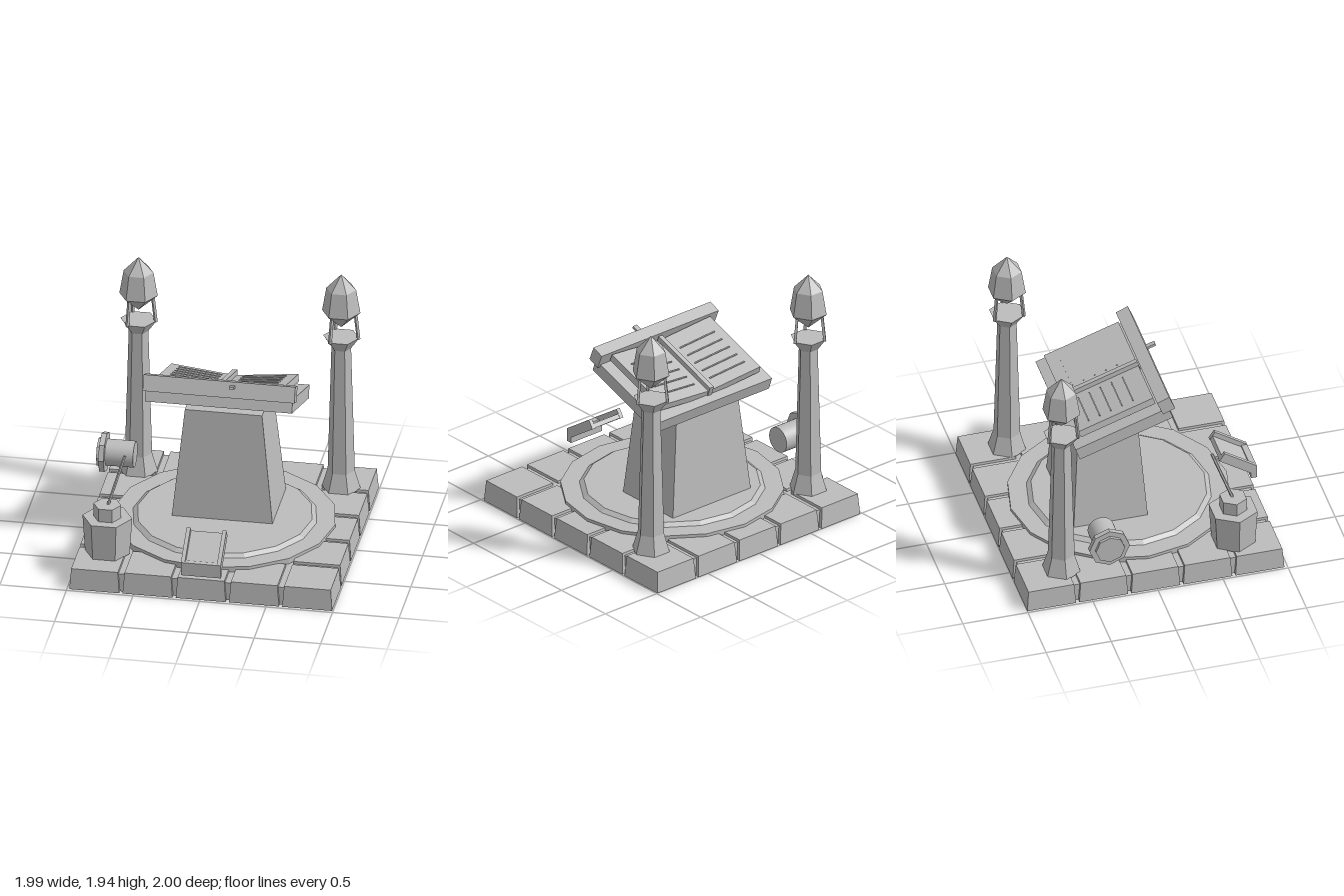
import * as THREE from 'three';

const stone = new THREE.MeshStandardMaterial({ color: 0xbcbcbc });
stone.name = 'stone grey';

export function createModel() {
  const root = new THREE.Group();
  root.name = 'readingStand';

  // --- helpers ---
  const add = (parent, name, geo, x = 0, y = 0, z = 0) => {
    const m = new THREE.Mesh(geo, stone);
    m.name = name;
    m.position.set(x, y, z);
    parent.add(m);
    return m;
  };
  const group = (parent, name, x, y, z) => {
    const g = new THREE.Group();
    g.name = name;
    g.position.set(x, y, z);
    parent.add(g);
    return g;
  };
  const box = (w, h, d) => new THREE.BoxGeometry(w, h, d);
  const facet = (geo) => {
    const g = geo.toNonIndexed();
    g.computeVertexNormals();
    return g;
  };
  // faceted prism or frustum with a corner on +x, standing on y = 0
  const prism = (rTop, rBottom, h, sides) => {
    const g = new THREE.CylinderGeometry(rTop, rBottom, h, sides);
    g.rotateY(Math.PI / 2);
    g.translate(0, h / 2, 0);
    return facet(g);
  };
  // box with a smaller top, standing on y = 0
  const taperedBox = (w, d, wTop, dTop, h) => {
    const g = box(w, h, d).translate(0, h / 2, 0);
    const p = g.attributes.position;
    for (let i = 0; i < p.count; i++) {
      if (p.getY(i) > h / 2) p.setXYZ(i, p.getX(i) * wTop / w, h, p.getZ(i) * dTop / d);
    }
    return facet(g);
  };
  // thin rod between two points
  const rod = (parent, name, a, b, r, sides) => {
    const dir = b.clone().sub(a);
    const m = add(parent, name, facet(new THREE.CylinderGeometry(r, r, dir.length(), sides)));
    m.position.copy(a).addScaledVector(dir, 0.5);
    m.quaternion.setFromUnitVectors(new THREE.Vector3(0, 1, 0), dir.normalize());
    return m;
  };
  const V = (x, y, z) => new THREE.Vector3(x, y, z);

  // --- tiled floor ---
  const floor = group(root, 'floor', 0.005, 0, -0.012);
  add(floor, 'floorCore', box(1.91, 0.145, 1.91), 0, 0.0725, 0);
  const tile = taperedBox(0.375, 0.375, 0.35, 0.35, 0.166);
  for (let i = -2; i <= 2; i++) {
    for (let j = -2; j <= 2; j++) add(floor, 'floorTile', tile, i * 0.4, 0, j * 0.4);
  }

  // --- round dais ---
  add(root, 'lowerStep', prism(0.83, 0.83, 0.07, 16), 0.01, 0.12, -0.02);
  add(root, 'upperStep', prism(0.655, 0.69, 0.025, 16), 0.01, 0.19, -0.02);

  // --- pedestal ---
  add(root, 'pedestal', taperedBox(0.76, 0.57, 0.58, 0.45, 0.88), 0.01, 0.2, -0.187);

  // --- sloping desk with open book ---
  const desk = group(root, 'desk', 0.0075, 1.155, -0.1325);
  desk.rotation.x = -0.33;
  add(desk, 'deskBoard', box(1.105, 0.102, 0.756));
  add(desk, 'bookLedge', box(1.14, 0.122, 0.1), 0.003, 0.091, 0.367).rotation.x = -0.06;
  add(desk, 'ledgePeg', box(0.036, 0.02, 0.09), 0.105, 0.118, 0.44);
  add(desk, 'bookSpine', box(0.037, 0.09, 0.62), 0, 0.085, -0.002);
  for (const s of [-1, 1]) {
    const page = group(desk, s < 0 ? 'rightPage' : 'leftPage', s * 0.244, 0.086, 0);
    page.rotation.z = s * 0.1;
    add(page, 'pageBlock', box(0.475, 0.055, 0.605));
    for (let i = 0; i < 5; i++) {
      add(page, 'pageLine', box(0.33, 0.009, 0.01), 0, 0.031, -0.2 + i * 0.09);
    }
  }

  // --- crystal lamps on columns ---
  for (const [x, z, name] of [[-0.755, -0.675, 'rightLamp'], [0.77, -0.667, 'leftLamp']]) {
    const lamp = group(root, name, x, 0, z);
    add(lamp, 'columnFoot', prism(0.102, 0.147, 0.15, 6), 0, 0.16, 0);
    add(lamp, 'columnShaft', prism(0.074, 0.102, 1.02, 6), 0, 0.31, 0);
    add(lamp, 'columnCapital', prism(0.136, 0.074, 0.09, 6), 0, 1.33, 0);
    for (let k = 0; k < 3; k++) {
      const a = k * Math.PI * 2 / 3, c = Math.cos(a), s = Math.sin(a);
      rod(lamp, 'lampStrut', V(c * 0.13, 1.41, s * 0.13), V(c * 0.105, 1.64, s * 0.105), 0.014, 4);
    }
    add(lamp, 'crystalPoint', prism(0.144, 0, 0.13, 6), 0, 1.5, 0);
    add(lamp, 'crystalBody', prism(0.112, 0.144, 0.19, 6), 0, 1.63, 0);
    add(lamp, 'crystalTip', prism(0, 0.112, 0.12, 6), 0, 1.82, 0);
  }

  // --- inkwell with quill ---
  const inkwell = group(root, 'inkwell', -0.755, 0, 0.645);
  add(inkwell, 'inkwellBody', prism(0.187, 0.168, 0.295, 6), 0, 0.16, 0);
  add(inkwell, 'inkwellNeck', prism(0.104, 0.104, 0.11, 6), 0, 0.45, 0);
  rod(inkwell, 'quill', V(-0.005, 0.52, 0.008), V(0.108, 0.905, -0.133), 0.012, 6);

  // --- floating flanged drum, axis along x ---
  const drum = group(root, 'drum', 0, 0.453, -0.365);
  add(drum, 'drumBody', new THREE.CylinderGeometry(0.1, 0.1, 0.23, 32).rotateZ(Math.PI / 2), -0.84, 0, 0);
  const disc = (r, w) => facet(new THREE.CylinderGeometry(r, r, w, 8).rotateZ(Math.PI / 2));
  add(drum, 'drumFlange', disc(0.155, 0.04), -0.957, 0, 0);
  add(drum, 'drumEndCap', disc(0.112, 0.03), -0.985, 0, 0);

  // --- small sloping tray at the front ---
  const tray = group(root, 'tray', 0.01, 0.365, 0.855);
  tray.rotation.x = 0.59;
  add(tray, 'trayPlate', box(0.25, 0.035, 0.29), 0, -0.017, 0);
  for (const s of [-1, 1]) add(tray, 'trayRail', box(0.03, 0.075, 0.295), s * 0.135, 0, 0);
  add(root, 'trayLip', box(0.3, 0.105, 0.045), 0.01, 0.26, 0.977);

  return root;
}
